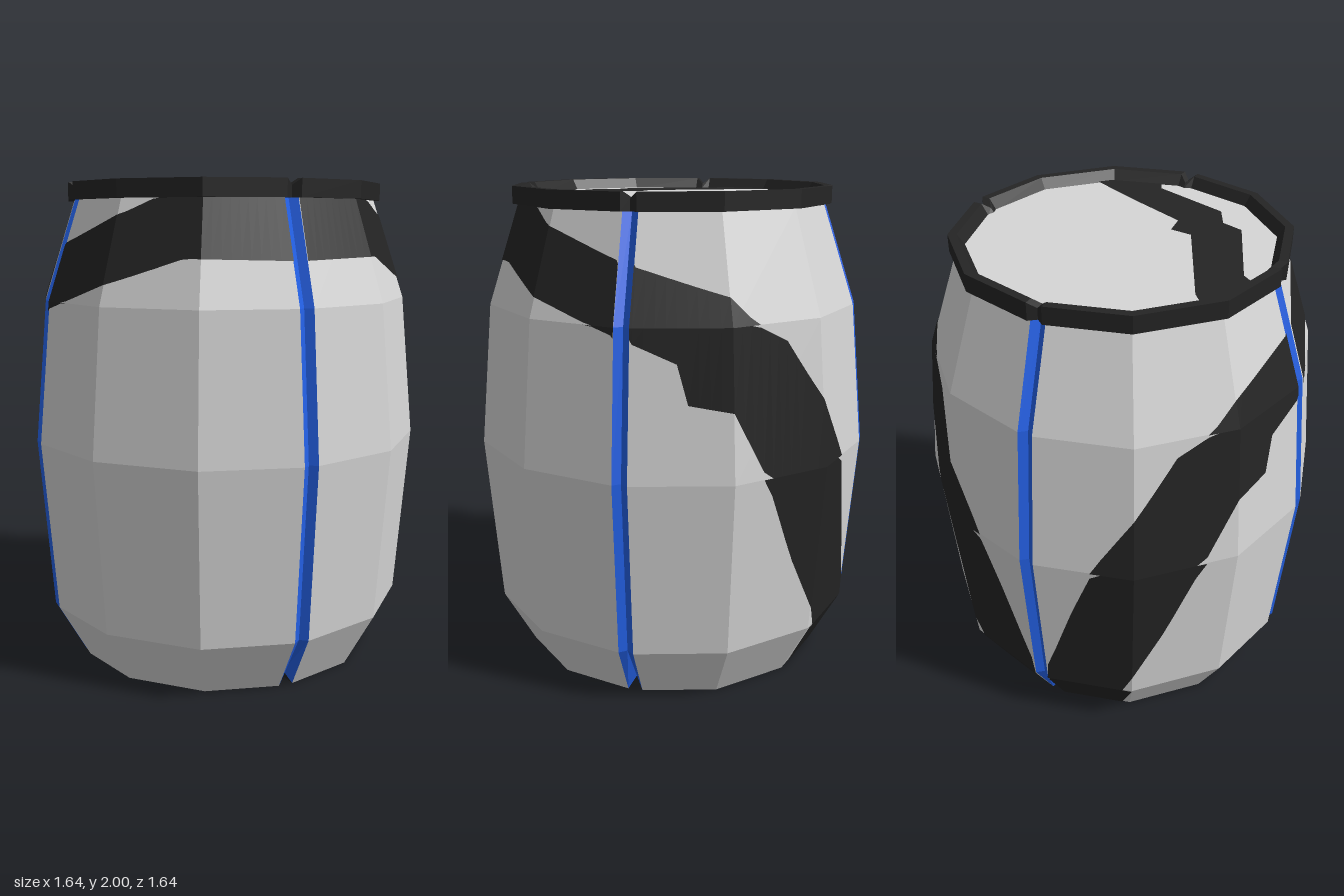
import * as THREE from 'three';

const rad = THREE.MathUtils.degToRad;
const BODY = [[0.645, 0], [0.775, 0.235], [0.83, 0.95], [0.775, 1.53], [0.64, 1.935]];
const RIM = [[0.62, 1.93], [0.667, 1.93], [0.667, 2], [0.632, 2], [0.602, 1.955]];
const GROOVE = 0.03; // half width and depth of the four notches

// Stripe edges as [degrees from the front, height], mirrored on both sides
const STRIPE_LOW = [[0, 1.7], [35, 1.71], [60, 1.61], [90, 1.49], [105, 1.4], [108, 1.25], [120, 1.22],
  [129, 0.98], [140, 0.6], [150, 0.33], [153, 0], [180, 0]];
const STRIPE_HIGH = [[0, 1.93], [47, 1.93], [57, 1.88], [90, 1.75], [120, 1.635], [129, 1.52], [138, 1.46],
  [150, 1.22], [160, 1], [168, 0.7], [174, 0.45], [180, 0.22]];

// Linear interpolation in a list of [key, value]
function lerpTable(table, k) {
  for (let i = 1; i < table.length; i++) {
    const [a, va] = table[i - 1], [b, vb] = table[i];
    if (k <= b) return va + (vb - va) * (k - a) / (b - a);
  }
  return table[table.length - 1][1];
}

// Point on a twelve-sided ring with corners every 30 degrees
function ringPoint(r, y, deg) {
  const local = ((deg % 30) + 30) % 30 - 15;
  const d = r * Math.cos(rad(15)) / Math.cos(rad(local));
  return [d * Math.sin(rad(deg)), y, d * Math.cos(rad(deg))];
}

// Angle from a notch centre to its lip
const lipAngle = (r) => THREE.MathUtils.radToDeg(Math.atan(GROOVE / (r - 0.008)));

// One ring, notched at front, back and sides
function notchedRing(r, y) {
  const pts = [];
  for (let k = 0; k < 12; k++) {
    const deg = k * 30;
    if (k % 3) { pts.push(ringPoint(r, y, deg)); continue; }
    const d = lipAngle(r);
    const depth = r < 0.61 ? 0.018 : 0.032;
    const cy = y === 0 ? 0.05 : y === 2 ? 1.975 : y;
    pts.push(ringPoint(r, y, deg - d), ringPoint(r - depth, cy, deg), ringPoint(r, y, deg + d));
  }
  return pts;
}

function quad(out, a, b, c, d) {
  out.push(...a, ...b, ...c, ...a, ...c, ...d);
}

// Flat-shaded mesh from a triangle list
function facetMesh(name, positions, material) {
  const g = new THREE.BufferGeometry();
  g.setAttribute('position', new THREE.Float32BufferAttribute(positions, 3));
  g.computeVertexNormals();
  const m = new THREE.Mesh(g, material);
  m.name = name;
  return m;
}

// Skin a profile; notch walls and plain panels go to separate lists
function skin(profile) {
  const rows = profile.map(([r, y]) => notchedRing(r, y));
  const panels = [], notches = [];
  for (let i = 0; i + 1 < rows.length; i++) {
    const lo = rows[i], hi = rows[i + 1], n = lo.length;
    for (let j = 0; j < n; j++) {
      const k = (j + 1) % n;
      quad(j % 5 < 2 ? notches : panels, lo[j], lo[k], hi[k], hi[j]);
    }
  }
  return { rows, panels, notches };
}

// Thin painted band that follows the facets and stops at the notch lips
function stripePositions() {
  const out = [], step = 3;
  const radii = BODY.map(([r, y]) => [y, r]);
  const at = (deg, y, side) => {
    const r = lerpTable(radii, y) + 0.004;
    return ringPoint(r, y, deg % 90 === 0 ? deg + side * lipAngle(r) : deg);
  };
  for (let a = -180; a < 180; a += step) {
    const b = a + step;
    const edges = [a, b].map((d) => [lerpTable(STRIPE_LOW, Math.abs(d)), lerpTable(STRIPE_HIGH, Math.abs(d))]);
    for (let i = 0; i + 1 < BODY.length; i++) {
      const y0 = BODY[i][1], y1 = BODY[i + 1][1];
      const [[la, ha], [lb, hb]] = edges.map((e) => e.map((y) => THREE.MathUtils.clamp(y, y0, y1)));
      if (ha - la < 1e-4 && hb - lb < 1e-4) continue;
      quad(out, at(a, la, 1), at(b, lb, -1), at(b, hb, -1), at(a, ha, 1));
    }
  }
  return out;
}

export function createModel() {
  const grey = new THREE.MeshStandardMaterial({ color: 0xd6d6d6 });
  const black = new THREE.MeshStandardMaterial({ color: 0x242424 });
  const blue = new THREE.MeshStandardMaterial({ color: 0x2563eb });
  grey.name = 'light grey';
  black.name = 'black';
  blue.name = 'blue';

  const model = new THREE.Group();
  model.name = 'barrel';

  // Body panels, blue grooves and painted stripe
  const body = skin(BODY);
  model.add(facetMesh('bodyPanels', body.panels, grey));
  model.add(facetMesh('grooves', body.notches, blue));
  model.add(facetMesh('bodyStripe', stripePositions(), black));

  // Base
  const base = [], foot = body.rows[0];
  foot.forEach((p, i) => base.push(0, 0, 0, ...foot[(i + 1) % foot.length], ...p));
  model.add(facetMesh('base', base, black));

  // Notched rim
  const rim = skin(RIM);
  model.add(facetMesh('rim', [...rim.panels, ...rim.notches], black));

  // Lid and its painted stripe
  const lid = new THREE.Mesh(new THREE.CircleGeometry(0.61, 12).rotateX(-Math.PI / 2), grey);
  lid.name = 'lid';
  lid.position.y = 1.958;
  model.add(lid);

  const outline = [[-0.49, -0.35], [-0.43, -0.28], [-0.22, 0.16], [-0.13, 0.17], [-0.12, 0.26], [0.09, 0.35],
    [0.37, 0.48], [0.3, 0.52], [0.1, 0.575], [0.08, 0.53], [-0.24, 0.42], [-0.29, 0.32], [-0.38, 0.29],
    [-0.53, -0.07], [-0.585, -0.11], [-0.52, -0.3]];
  const shape = new THREE.Shape(outline.map(([x, z]) => new THREE.Vector2(x, -z)));
  const lidStripe = new THREE.Mesh(new THREE.ShapeGeometry(shape).rotateX(-Math.PI / 2), black);
  lidStripe.name = 'lidStripe';
  lidStripe.position.y = 1.962;
  model.add(lidStripe);

  return model;
}
